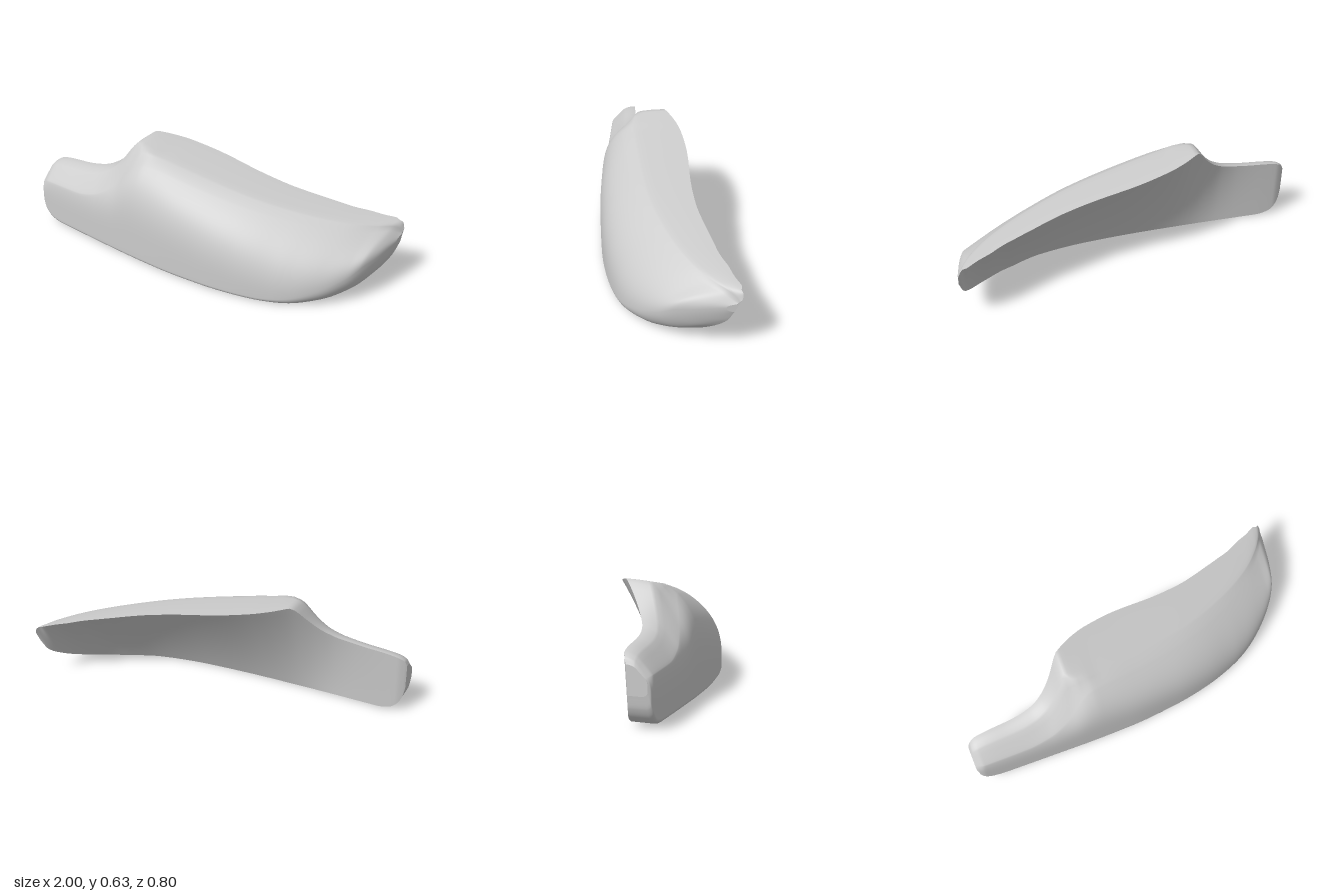
import * as THREE from 'three';

// Monotone cubic curve through [x, value] points
function curve(pts) {
  const n = pts.length, d = [], m = [];
  for (let i = 0; i < n - 1; i++) d.push((pts[i + 1][1] - pts[i][1]) / (pts[i + 1][0] - pts[i][0]));
  for (let i = 0; i < n; i++) {
    if (i === 0) m.push(d[0]);
    else if (i === n - 1) m.push(d[n - 2]);
    else m.push(d[i - 1] * d[i] <= 0 ? 0 : (2 * d[i - 1] * d[i]) / (d[i - 1] + d[i]));
  }
  return (x) => {
    let i = 0;
    while (i < n - 2 && x > pts[i + 1][0]) i++;
    const h = pts[i + 1][0] - pts[i][0], t = (x - pts[i][0]) / h, t2 = t * t, t3 = t2 * t;
    return (2 * t3 - 3 * t2 + 1) * pts[i][1] + (t3 - 2 * t2 + t) * h * m[i]
      + (3 * t2 - 2 * t3) * pts[i + 1][1] + (t3 - t2) * h * m[i + 1];
  };
}

// Outline curves along x: heights
const topY = curve([[-1, 0.32], [-0.985, 0.35], [-0.95, 0.37], [-0.88, 0.383], [-0.75, 0.395], [-0.62, 0.42],
  [-0.55, 0.455], [-0.5, 0.5], [-0.45, 0.565], [-0.415, 0.618], [-0.39, 0.637], [-0.36, 0.632], [-0.3, 0.62],
  [0.3, 0.503], [0.8, 0.405], [0.9, 0.386], [0.96, 0.373], [0.985, 0.36], [1, 0.325]]);
const bottomY = curve([[-1, 0.17], [-0.99, 0.11], [-0.96, 0.055], [-0.92, 0.025], [-0.85, 0.01], [0, 0.002],
  [0.65, 0.004], [0.8, 0.025], [0.9, 0.072], [0.95, 0.125], [0.98, 0.185], [1, 0.255]]);
const creaseY = curve([[-1, 0.26], [-0.95, 0.275], [-0.7, 0.285], [-0.58, 0.315], [-0.5, 0.36], [-0.43, 0.42],
  [-0.37, 0.5], [-0.32, 0.555], [-0.27, 0.575], [-0.2, 0.57], [0, 0.535], [0.3, 0.477], [0.6, 0.418],
  [0.9, 0.36], [0.96, 0.345], [1, 0.305]]);
// Outline curves along x: depths, and lean of the inner face
const bottomBackZ = curve([[-1, 0.275], [-0.95, 0.262], [-0.6, 0.26], [-0.2, 0.248], [0.2, 0.215], [0.5, 0.155],
  [0.7, 0.06], [0.8, -0.02], [0.9, -0.15], [0.95, -0.25], [0.98, -0.325], [1, -0.36]]);
const innerLean = curve([[-1, -0.06], [-0.85, -0.08], [-0.7, -0.105], [-0.6, -0.15], [-0.5, -0.24], [-0.4, -0.35],
  [-0.3, -0.455], [-0.2, -0.53], [0, -0.62], [0.2, -0.665], [0.4, -0.72], [0.6, -0.79], [0.8, -0.78],
  [0.9, -0.68], [0.95, -0.57], [0.98, -0.39], [1, -0.5]]);
const topBackZ = (x) => Math.max(-0.4, bottomBackZ(x) + innerLean(x) * (topY(x) - bottomY(x)));
const frontZ = curve([[-1, 0.375], [-0.99, 0.39], [-0.96, 0.397], [-0.4, 0.397], [-0.1, 0.39], [0.2, 0.36],
  [0.4, 0.32], [0.6, 0.253], [0.7, 0.203], [0.8, 0.13], [0.9, 0.025], [0.95, -0.06], [0.98, -0.17], [1, -0.32]]);
const creaseZ = curve([[-1, 0.36], [-0.95, 0.382], [-0.7, 0.38], [-0.55, 0.365], [-0.45, 0.335], [-0.38, 0.3],
  [-0.3, 0.255], [-0.2, 0.232], [0, 0.195], [0.3, 0.125], [0.56, 0.02], [0.8, -0.13], [0.92, -0.255], [1, -0.385]]);
// Shoulder between crease and back edge: fraction of depth and of height
const shoulderDepth = curve([[-1, 0.5], [-0.5, 0.5], [-0.39, 0.46], [-0.35, 0.3], [-0.27, 0.16], [1, 0.14]]);
const shoulderRise = curve([[-1, 0.78], [-0.55, 0.78], [-0.39, 0.9], [-0.33, 0.84], [-0.2, 0.6], [1, 0.6]]);

const { lerp, smoothstep } = THREE.MathUtils;

// Outer section: bottom edge, rounded lower corner, front face, crease, top
function outerSection(x) {
  const yb = bottomY(x), zb = bottomBackZ(x), zf = frontZ(x);
  const yc = creaseY(x), zc = creaseZ(x), yt = topY(x), zt = topBackZ(x);
  const corner = smoothstep(x, 0.5, 1);
  const ry = Math.min(lerp(0.025, 0.1, corner), (yc - yb) * 0.45);
  const rz = Math.min(lerp(0.03, 0.12, corner), (zf - zb) * 0.9);
  const pts = [];
  for (let i = 0; i < 4; i++) pts.push([lerp(zb, zf - rz, i / 4), yb]);
  for (let i = 0; i < 8; i++) {
    const a = (i / 8) * Math.PI / 2;
    pts.push([zf - rz + rz * Math.sin(a), yb + ry * (1 - Math.cos(a))]);
  }
  const power = lerp(4.6, 2.2, smoothstep(x, -0.2, 0.95)), y0 = yb + ry;
  const face = (t) => [lerp(zf, zc, Math.pow(t, power)), lerp(y0, yc, t)];
  for (let i = 0; i < 20; i++) pts.push(face((i / 20) * 0.95));
  // soft crease between front face and top
  const a = face(0.95), c = [lerp(zc, zt, shoulderDepth(x)), lerp(yc, yt, shoulderRise(x))];
  for (let i = 0; i < 6; i++) {
    const t = i / 6, u = 1 - t;
    pts.push([0, 1].map((k) => u * u * a[k] + 2 * u * t * [zc, yc][k] + t * t * c[k]));
  }
  for (let i = 0; i <= 6; i++) {
    const t = i / 6;
    pts.push([lerp(c[0], zt, t), lerp(c[1], yt, 1 - (1 - t) * (1 - t))]);
  }
  return pts.map(([z, y]) => [x, y, z]);
}

// Inner section: gently hollow face from the top edge down to the bottom edge
function innerSection(x) {
  const hollow = 0.02 * smoothstep(x, -0.95, -0.1) * (1 - smoothstep(x, 0.7, 1));
  const pts = [];
  for (let i = 0; i <= 14; i++) {
    const t = i / 14;
    pts.push([x, lerp(topY(x), bottomY(x), t),
      lerp(topBackZ(x), bottomBackZ(x), t) + hollow * 4 * t * (1 - t)]);
  }
  return pts;
}

function makeGeometry(points, index) {
  const g = new THREE.BufferGeometry();
  g.setAttribute('position', new THREE.Float32BufferAttribute(points.flat(), 3));
  g.setIndex(index);
  g.computeVertexNormals();
  return g;
}

// Skin a row of sections
function loft(sections) {
  const n = sections[0].length, index = [];
  for (let i = 0; i < sections.length - 1; i++) {
    for (let j = 0; j < n - 1; j++) {
      const a = i * n + j, b = a + n;
      index.push(a, b, a + 1, b, b + 1, a + 1);
    }
  }
  return makeGeometry(sections.flat(), index);
}

// Flat end closing the outer and inner sections
function endCap(x, flip) {
  const ring = [...outerSection(x), ...innerSection(x).slice(1, -1)];
  const n = ring.length, index = [];
  const centre = [0, 1, 2].map((k) => ring.reduce((s, p) => s + p[k], 0) / n);
  for (let i = 0; i < n; i++) {
    const j = (i + 1) % n;
    if (flip) index.push(n, j, i);
    else index.push(n, i, j);
  }
  return makeGeometry([...ring, centre], index);
}

export function createModel() {
  const group = new THREE.Group();
  group.name = 'curvedCover';
  const material = new THREE.MeshStandardMaterial({ color: 0xcccccc, side: THREE.DoubleSide });
  const add = (name, geometry) => {
    const mesh = new THREE.Mesh(geometry, material);
    mesh.name = name;
    group.add(mesh);
  };

  // stations crowd toward both rounded ends
  const steps = 140;
  const xs = Array.from({ length: steps + 1 }, (_, i) => -Math.cos((Math.PI * i) / steps));

  add('outerShell', loft(xs.map(outerSection)));
  add('innerFace', loft(xs.map(innerSection)));
  add('rightEnd', endCap(-1, false));
  add('leftEnd', endCap(1, true));
  return group;
}
